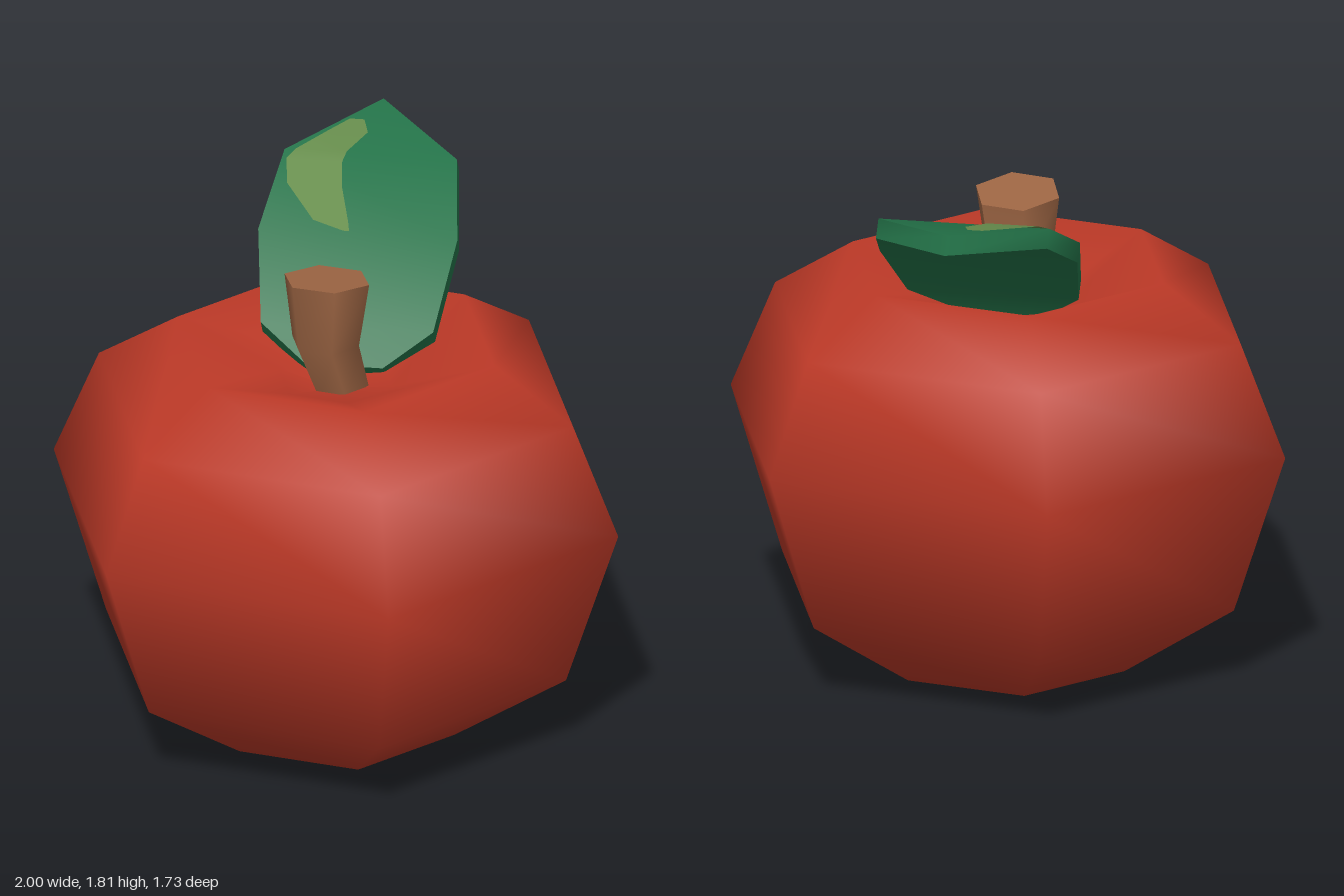
import * as THREE from 'three';

const material = (name, color, side = THREE.FrontSide) => {
  const m = new THREE.MeshStandardMaterial({ color, side });
  m.name = name;
  return m;
};

function part(name, geometry, mat) {
  const mesh = new THREE.Mesh(geometry, mat);
  mesh.name = name;
  return mesh;
}

// Smooth ribbon through a list of point pairs
function strip(pairs) {
  const geo = new THREE.BufferGeometry();
  geo.setAttribute('position', new THREE.Float32BufferAttribute(
    pairs.flatMap(([p, q]) => [...p.toArray(), ...q.toArray()]), 3));
  const index = [];
  for (let i = 0; i < pairs.length - 1; i++) {
    const a = 2 * i;
    index.push(a, a + 1, a + 2, a + 1, a + 3, a + 2);
  }
  geo.setIndex(index);
  geo.computeVertexNormals();
  return geo;
}

// Leaf space: u runs from stem to tip, v across the blade
const leafPoint = (u, v, y) =>
  new THREE.Vector3(0.744 * u + 0.668 * v, y, -0.668 * u + 0.744 * v);

// Leaf cross-sections: distance along, half width, height
const leafRows = [
  [0.05, 0.13, 1.27], [0.12, 0.29, 1.38], [0.38, 0.335, 1.6],
  [0.69, 0.29, 1.75], [1.0, 0, 1.81],
];

function leafHeight(u) {
  let i = 0;
  while (i < leafRows.length - 2 && u > leafRows[i + 1][0]) i++;
  const [u0, , y0] = leafRows[i];
  const [u1, , y1] = leafRows[i + 1];
  return y0 + (y1 - y0) * (u - u0) / (u1 - u0);
}

export function createModel() {
  const model = new THREE.Group();
  model.name = 'apple';

  const red = material('apple red', 0xbc3927);
  const dark = material('dark base', 0x480a0c, THREE.DoubleSide);
  const brown = material('stem brown', 0x9e6644);
  const green = material('leaf green', 0x237248);
  const light = material('light green', 0x668c4c, THREE.DoubleSide);

  // Six-sided body with a dimple above and a shallow hollow below
  const profile = [
    [0, 0.06], [0.42, 0], [0.815, 0.265], [1, 0.825],
    [0.84, 1.205], [0.56, 1.385], [0.2, 1.25], [0, 1.21],
  ].map(([r, y]) => new THREE.Vector2(r, y));
  model.add(part('body', new THREE.LatheGeometry(profile, 6, Math.PI / 2), red));

  // Dark round patch following the hollow
  const patch = new THREE.RingGeometry(0.002, 0.33, 12, 4);
  patch.rotateX(Math.PI / 2);
  const pp = patch.attributes.position;
  for (let i = 0; i < pp.count; i++) {
    const x = Math.abs(pp.getX(i)), z = Math.abs(pp.getZ(i));
    const hexRadius = Math.max(z / 0.866, x + z * 0.577);
    pp.setY(i, 0.06 * (1 - hexRadius / 0.42) - 0.005);
  }
  patch.computeVertexNormals();
  model.add(part('basePatch', patch, dark));

  // Bent, flaring six-sided stem with a tilted top
  const stem = new THREE.CylinderGeometry(1, 1, 1, 6, 2, false, Math.PI / 2);
  const stemRows = [[0.03, 1.19, 0.1], [-0.045, 1.4, 0.118], [-0.04, 1.625, 0.15]];
  const sp = stem.attributes.position;
  for (let i = 0; i < sp.count; i++) {
    const row = Math.round((sp.getY(i) + 0.5) * 2);
    const [cx, cy, r] = stemRows[row];
    const x = sp.getX(i) * r, z = sp.getZ(i) * r;
    const tilt = row === 2 ? 0.08 * z - 0.1 * x : 0;
    sp.setXYZ(i, cx + x, cy + tilt, z);
  }
  stem.computeVertexNormals();
  model.add(part('stem', stem, brown));

  // Thick arched leaf: top, underside and rim
  const leaf = new THREE.Group();
  leaf.name = 'leaf';
  const drop = leafPoint(0.045, 0, -0.055);
  const edge = (s) => leafRows.map(([u, w, y]) => leafPoint(u, 0.02 + s * w, y));
  const lower = (points) => points.map((p) => p.clone().add(drop));
  const zip = (a, b) => a.map((p, i) => [p, b[i]]);
  const lo = edge(-1), hi = edge(1), loUnder = lower(lo), hiUnder = lower(hi);
  leaf.add(
    part('leafTop', strip(zip(lo, hi)), green),
    part('leafUnderside', strip(zip(hiUnder, loUnder)), green),
    part('leafRimLeft', strip(zip(hi, hiUnder)), green),
    part('leafRimRight', strip(zip(loUnder, lo)), green),
    part('leafBase', strip([[lo[0], loUnder[0]], [hi[0], hiUnder[0]]]), green),
  );

  // Pale highlight marking on one half of the leaf
  const marking = [
    [0.385, -0.03, -0.01], [0.42, -0.136, -0.018], [0.555, -0.242, -0.058],
    [0.65, -0.258, -0.07], [0.69, -0.23, -0.06], [0.8, -0.137, -0.005],
    [0.87, -0.075, -0.026],
  ].map(([u, v0, v1]) => [v0, v1].map((v) => leafPoint(u, v, leafHeight(u) + 0.006)));
  leaf.add(part('leafMarking', strip(marking), light));
  model.add(leaf);

  return model;
}
